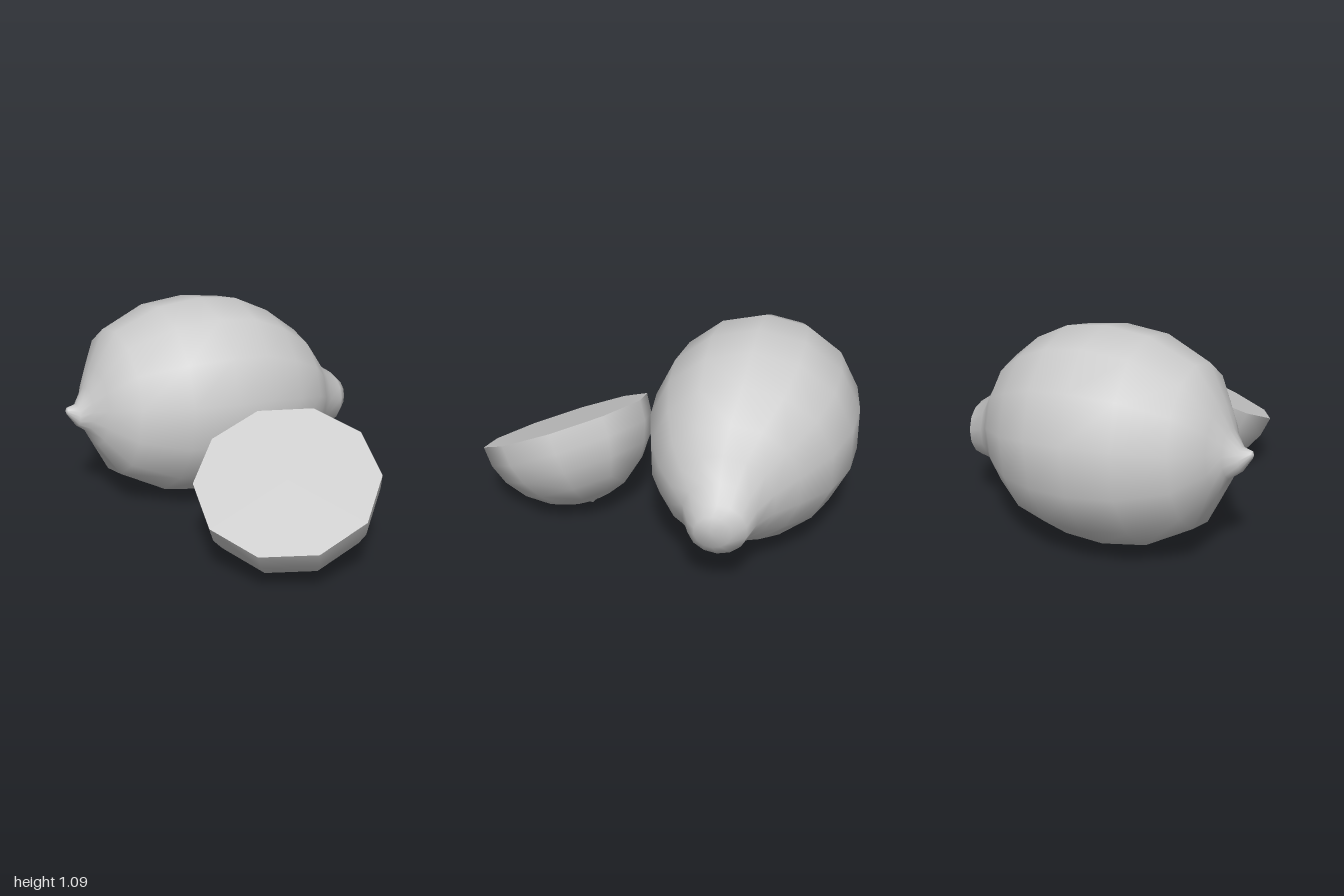
import * as THREE from 'three';

const SIDES = 14;

// Closed skin through tilted rings [x, y, z, radius] ordered along +x, with a point at each end
function loft(rings, start, end) {
  const pos = [...start], index = [];
  for (const [x, y, z, r] of rings) {
    for (let j = 0; j < SIDES; j++) {
      const a = (j / SIDES) * Math.PI * 2;
      const dy = r * Math.cos(a), dz = r * Math.sin(a);
      pos.push(x + 0.1 * dy + 0.06 * dz, y + dy, z + dz);
    }
  }
  pos.push(...end);
  const last = pos.length / 3 - 1;
  const id = (i, j) => 1 + i * SIDES + (j % SIDES);
  for (let j = 0; j < SIDES; j++) {
    index.push(0, id(0, j + 1), id(0, j));
    for (let i = 0; i < rings.length - 1; i++) {
      index.push(id(i, j), id(i, j + 1), id(i + 1, j));
      index.push(id(i, j + 1), id(i + 1, j + 1), id(i + 1, j));
    }
    index.push(id(rings.length - 1, j), id(rings.length - 1, j + 1), last);
  }
  const g = new THREE.BufferGeometry();
  g.setAttribute('position', new THREE.Float32BufferAttribute(pos, 3));
  g.setIndex(index);
  g.computeVertexNormals();
  return g;
}

export function createModel() {
  const group = new THREE.Group();
  const grey = new THREE.MeshStandardMaterial({ color: 0xcccccc });
  grey.name = 'plain grey';

  const add = (parent, name, geometry) => {
    const mesh = new THREE.Mesh(geometry, grey);
    mesh.name = name;
    parent.add(mesh);
  };

  // Whole fruit: stem tip, belly, then the drooping nose
  add(group, 'wholeLemon', loft([
    [-0.815, 0.572, -0.44, 0.02],
    [-0.765, 0.54, -0.44, 0.06],
    [-0.71, 0.56, -0.445, 0.12],
    [-0.665, 0.57, -0.445, 0.21],
    [-0.56, 0.575, -0.455, 0.395],
    [-0.32, 0.56, -0.455, 0.512],
    [-0.08, 0.545, -0.455, 0.545],
    [0.13, 0.53, -0.455, 0.528],
    [0.32, 0.50, -0.44, 0.465],
    [0.49, 0.48, -0.41, 0.355],
    [0.58, 0.45, -0.395, 0.26],
    [0.66, 0.415, -0.395, 0.185],
    [0.755, 0.39, -0.40, 0.145],
    [0.80, 0.40, -0.385, 0.09],
  ], [-0.825, 0.575, -0.44], [0.815, 0.405, -0.38]));

  // Half fruit: ten-sided bowl closed by a flat cut face, tilted towards the front
  const half = new THREE.Group();
  half.name = 'halfLemon';
  const profile = [
    [0.001, -0.475], [0.035, -0.458], [0.11, -0.448], [0.225, -0.408],
    [0.335, -0.325], [0.415, -0.22], [0.458, -0.11], [0.467, 0],
  ].map(([r, h]) => new THREE.Vector2(r, h));
  add(half, 'halfPeel', new THREE.LatheGeometry(profile, 10));
  add(half, 'cutFace', new THREE.CircleGeometry(0.467, 10, Math.PI / 2).rotateX(-Math.PI / 2));

  const up = new THREE.Vector3(-0.266, 0.891, 0.367).normalize();
  const corner = new THREE.Vector3(0.44, 0.15, -0.045).projectOnPlane(up).normalize();
  const side = new THREE.Vector3().crossVectors(up, corner);
  half.quaternion.setFromRotationMatrix(new THREE.Matrix4().makeBasis(side, up, corner));
  half.position.set(-0.02, 0.463, 0.575);
  group.add(half);

  return group;
}
